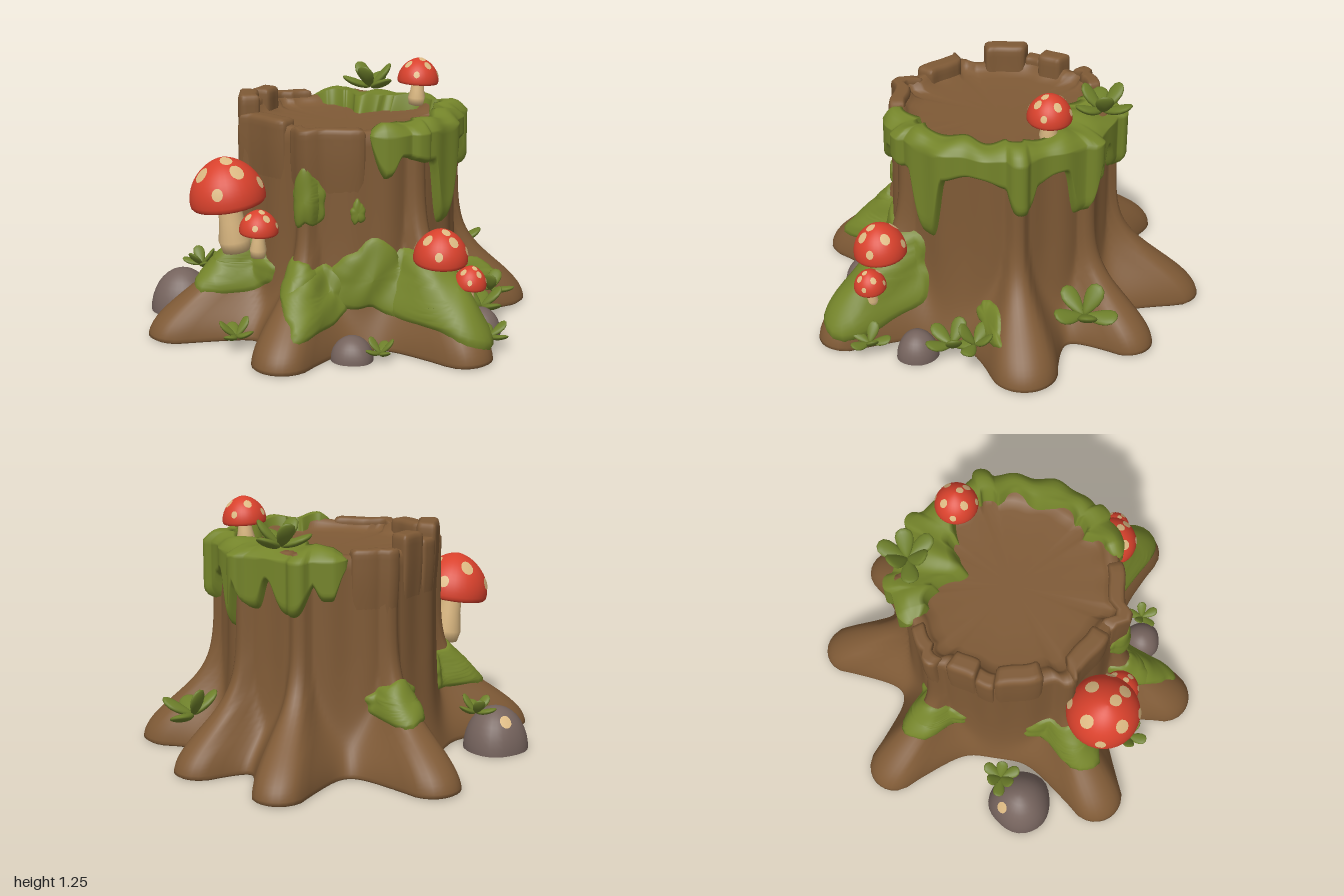
import * as THREE from 'three';
import { mergeVertices } from 'three/addons/utils/BufferGeometryUtils.js';

const mat = (name, color) => {
  const m = new THREE.MeshStandardMaterial({ color });
  m.name = name;
  return m;
};
const V = (x, y, z) => new THREE.Vector3(x, y, z);
const rad = THREE.MathUtils.degToRad;
const CX = 0.06, CZ = -0.02; // trunk axis

// Roots: direction in degrees (0 = +x, 90 = +z), reach, half width at the tip, height
const ROOTS = [
  [174, 1.045, 0.14, 0.3], [130, 0.98, 0.14, 0.3], [72, 1.02, 0.13, 0.37], [7, 0.94, 0.16, 0.3],
  [-34, 0.93, 0.12, 0.28], [-68, 1.01, 0.125, 0.3], [-114, 1.025, 0.13, 0.3],
];

// Distance from the axis to the edge of a tapered, round-ended root, at angle d from it
function rootEdge(d, reach, w, taper) {
  const s = Math.abs(Math.sin(d)), c = Math.cos(d), L = reach - w;
  if (c <= 0) return 0;
  const side = (w + taper * L) / (s + taper * c);
  if (side * c <= L) return side;
  return L * c + Math.sqrt(Math.max(0, w * w - L * L * s * s));
}

// Trunk radius at angle a and height y
function radius(a, y) {
  const p = 11, up = Math.min(1, y / 0.5);
  let sum = Math.pow(0.525 + 0.08 * Math.exp(-y / 0.2), p);
  for (const [deg, reach, w, h] of ROOTS) {
    const e = Math.exp(-Math.pow(y / h, 2));
    sum += Math.pow(rootEdge(a - rad(deg), 0.535 + (reach - 0.535) * e, 0.035 + (w - 0.035) * e, 0.25 * e), p);
  }
  return Math.pow(sum, 1 / p) + up * (0.007 * Math.sin(9 * a) + 0.005 * Math.sin(17 * a + 1));
}
const polar = (a, r, y) => V(CX + r * Math.cos(a), y, CZ + r * Math.sin(a));
const onTrunk = (a, y) => polar(a, radius(a, y), y);

// Smooth surface from a rule fn(i, j); i runs around, j runs up
function grid(nu, nv, wrap, fn) {
  const pos = [], idx = [], cols = wrap ? nu : nu + 1;
  for (let j = 0; j <= nv; j++) for (let i = 0; i < cols; i++) pos.push(...fn(i, j).toArray());
  for (let j = 0; j < nv; j++) for (let i = 0; i < nu; i++) {
    const k = (i + 1) % cols, a = j * cols + i, b = j * cols + k;
    idx.push(a, a + cols, b, b, a + cols, b + cols);
  }
  const g = new THREE.BufferGeometry();
  g.setAttribute('position', new THREE.Float32BufferAttribute(pos, 3));
  g.setIndex(idx);
  g.computeVertexNormals();
  return g;
}

function deform(g, rule) {
  const p = g.attributes.position, v = V(0, 0, 0);
  for (let i = 0; i < p.count; i++) {
    rule(v.fromBufferAttribute(p, i));
    p.setXYZ(i, v.x, v.y, v.z);
  }
  g.deleteAttribute('uv');
  g.deleteAttribute('normal');
  g = mergeVertices(g, 1e-5);
  g.computeVertexNormals();
  return g;
}

// Flared trunk with a shallow hollow on top and a closed underside
function trunkGeometry() {
  const rows = [[0, 0], [0.95, 0], [0.985, 0]];
  for (let k = 1; k <= 32; k++) rows.push([1, 1.0 * Math.pow(k / 32, 1.35)]);
  const top = [[0.015, 1.025], [0.05, 1.03], [0.075, 1.01], [0.09, 0.985], [0.14, 0.975], [0.3, 0.97], [1, 0.97]];
  const N = 216;
  return grid(N, rows.length + top.length - 1, true, (i, j) => {
    const a = (i / N) * Math.PI * 2;
    if (j < rows.length) return polar(a, radius(a, rows[j][1]) * rows[j][0], rows[j][1]);
    const [inset, y] = top[j - rows.length];
    const lift = inset < 0.08 ? 0.01 * Math.sin(5 * a + 1) : 0;
    return polar(a, Math.max(0, radius(a, 1) - inset), y + lift);
  });
}

// Rounded bark plate that follows the wall, sinks into it lower down and stands up at the rim
function barkGeometry(a0, a1, y0, y1, depth) {
  const core = V(0.4, 0.46, 0.32), low = core.clone().negate(), c = V(0, 0, 0);
  return deform(new THREE.BoxGeometry(1, 1, 1, 10, 24, 6), (v) => {
    c.copy(v).clamp(low, core);
    v.sub(c);
    const k = Math.hypot(v.x / 0.1, v.y / 0.04, v.z / 0.18);
    v.divideScalar(Math.max(1, k)).add(c);
    const a = rad(a0 + (v.x + 0.5) * (a1 - a0)), t = v.y + 0.5, y = y0 + t * (y1 - y0);
    const out = -0.02 + 0.032 * THREE.MathUtils.smoothstep(t, 0, 0.85);
    v.copy(polar(a, radius(a, y) + out - (v.z + 0.5) * depth, y));
  });
}

// Moss draped over the rim, with drips: [angle, depth, half width]
const DRIPS = [[91, 0.1, 6], [56, 0.05, 20], [53, 0.37, 8], [5, 0.06, 14], [5, 0.18, 7],
  [-27, 0.26, 6.5], [-42, 0.15, 6], [-64, 0.16, 9], [-82, 0.09, 6]];
function rimMossGeometry() {
  const N = 190, M = 22;
  return grid(N, M, false, (i, j) => {
    const deg = -92 + (i / N) * 190, a = rad(deg);
    const end = Math.sqrt(Math.max(0, Math.min(1, (deg + 92) / 7, (98 - deg) / 7)));
    let drop = 0.1 - 0.07 * (Math.exp(-Math.pow((deg - 26) / 6, 2)) + Math.exp(-Math.pow((deg - 80) / 5, 2)));
    for (const [d, depth, w] of DRIPS) drop = Math.max(drop, 0.1 + depth * Math.exp(-Math.pow((deg - d) / w, 4)));
    const low = 1.0 - drop * end, thick = 0.042 * end + 0.005 * Math.sin(a * 19);
    if (j <= 15) {
      const t = j / 15, bulge = Math.min(1, Math.sqrt(t * 6));
      const y = low + t * (1.01 - low);
      return polar(a, radius(a, y) - 0.012 + (thick + 0.012) * bulge, y);
    }
    const inner = (0.1 + 0.025 * Math.sin(a * 11) + 0.19 * Math.exp(-Math.pow((deg + 52) / 25, 4))) * end;
    const t = (j - 15) / 7, R = radius(a, 1) + thick;
    const y = 1.01 + end * 0.042 * Math.sin(Math.min(1, t * 2.2) * Math.PI / 2) + 0.012 * Math.sin(a * 13) * t * (1 - t) * 4;
    return polar(a, R - (inner + thick) * t, t === 1 ? 0.95 : y);
  });
}

// Lumpy moss cushion following the trunk surface
function patchGeometry(deg, yc, wDeg, h, thick) {
  const N = 48, M = 12;
  return grid(N, M, true, (i, j) => {
    const f = -(i / N) * Math.PI * 2, q = j / M;
    const wob = 1 + 0.1 * Math.sin(3 * f + deg) + 0.08 * Math.sin(5 * f + 2 * deg) + 0.04 * Math.sin(9 * f);
    const a = rad(deg + wDeg * q * wob * Math.cos(f)), y = Math.max(0.015, yc + h * q * wob * Math.sin(f));
    const p = onTrunk(a, y), d = 0.01;
    const n = onTrunk(a, y + d).sub(p).cross(onTrunk(a + d, y).sub(p)).normalize();
    const lump = 1 + 0.2 * Math.sin(a * 23 + y * 20) * (1 - q);
    return p.addScaledVector(n, (thick + 0.008) * Math.pow(1 - q * q, 0.4) * lump - 0.008);
  });
}

// Paddle-shaped leaf growing along +z and curling up
function leafGeometry() {
  return deform(new THREE.SphereGeometry(1, 14, 10), (v) => {
    const t = (v.z + 1) / 2;
    v.set(v.x * 0.054 * (0.4 + 0.75 * t), v.y * 0.02 + 0.025 * t * t, t * 0.165);
  });
}

// Maps a unit direction onto a slightly pointed cap
const ontoCap = (v, r, h) => {
  v.normalize();
  const s = r * Math.pow(Math.hypot(v.x, v.z), 0.22);
  return v.multiply(V(s, h, s));
};

export function createModel() {
  const model = new THREE.Group();
  const bark = mat('bark brown', 0x7f5a36), moss = mat('moss green', 0x74842a), leafGreen = mat('leaf green', 0x6d7f2a);
  const red = mat('cap red', 0xd8412c), cream = mat('stem cream', 0xdcb982), stone = mat('stone grey', 0x75635d);
  const add = (name, geo, m, parent = model) => {
    const mesh = new THREE.Mesh(geo, m);
    mesh.name = name;
    parent.add(mesh);
    return mesh;
  };

  add('trunkAndRoots', trunkGeometry(), bark);
  for (const s of [[221, 237, 0.5, 1.1, 0.1], [186, 211, 0.5, 1.12, 0.1], [211, 221, 0.55, 1.06, 0.08],
    [143, 172, 0.5, 1.065, 0.1], [100, 140, 0.45, 1.04, 0.08], [242, 266, 0.5, 1.05, 0.07]]) {
    add('barkPlate', barkGeometry(...s), bark);
  }

  add('rimMoss', rimMossGeometry(), moss);
  // angle, height, half angle, half height, thickness
  for (const p of [[172, 0.335, 24, 0.12, 0.03], [71, 0.29, 19, 0.22, 0.04], [97, 0.33, 22, 0.17, 0.035],
    [120, 0.27, 13, 0.14, 0.03], [131, 0.35, 8, 0.09, 0.025], [129, 0.71, 9, 0.14, 0.022], [104, 0.65, 4, 0.06, 0.02],
    [-116, 0.34, 16, 0.09, 0.03], [20, 0.2, 6, 0.07, 0.025]]) {
    add('mossPatch', patchGeometry(...p), moss);
  }

  // Mushrooms: position of foot, cap radius, cap height, stem length, lean about x and z
  const mushroom = (x, y, z, r, h, len, leanX, leanZ) => {
    const g = new THREE.Group();
    g.name = 'mushroom';
    g.position.set(x, y, z);
    g.rotation.set(leanX, 0, leanZ);
    const w = r * 0.33;
    const stem = [[0, -0.03], [w * 1.1, -0.02], [w * 1.3, len * 0.15], [w, len * 0.55], [w * 0.85, len + h * 0.2]];
    add('stem', new THREE.LatheGeometry(stem.map((p) => new THREE.Vector2(...p)), 20), cream, g);
    const cap = [V(0, 0.12 * h, 0), V(0.6 * r, 0.08 * h, 0), V(0.88 * r, -0.1 * h, 0), V(0.95 * r, -0.12 * h, 0), V(0.99 * r, -0.07 * h, 0)];
    for (let k = 0; k <= 14; k++) {
      const f = k * Math.PI / 28;
      cap.push(ontoCap(V(k === 14 ? 0 : Math.cos(f), Math.sin(f), 0), r, h));
    }
    add('cap', new THREE.LatheGeometry(cap.map((c) => new THREE.Vector2(c.x, c.y)), 32), red, g).position.y = len;
    for (let k = 0; k < 9; k++) {
      const spot = new THREE.CircleGeometry(k % 2 ? 0.15 : 0.2, 12).translate(0, 0, 1);
      spot.rotateX(-rad(k === 0 ? 72 : k % 2 ? 20 : 46)).rotateY(k * 0.8 + 0.2);
      add('capSpot', deform(spot, (v) => ontoCap(v, r, h).multiplyScalar(1.025)), cream, g).position.y = len;
    }
    model.add(g);
  };
  mushroom(-0.57, 0.45, 0.18, 0.18, 0.2, 0.24, 0, 0.14);
  mushroom(-0.5, 0.45, 0.32, 0.092, 0.1, 0.11, 0.05, -0.03);
  mushroom(0.29, 0.29, 0.62, 0.128, 0.145, 0.145, 0.08, 0);
  mushroom(0.4, 0.23, 0.7, 0.077, 0.09, 0.09, 0.08, -0.08);
  mushroom(0.475, 1.03, -0.135, 0.104, 0.115, 0.105, 0, -0.06);

  // Half-buried stones
  for (const [x, z, r, h] of [[-0.73, -0.3, 0.16, 0.21], [-0.15, 0.645, 0.1, 0.11], [0.555, 0.52, 0.1, 0.125]]) {
    const dome = deform(new THREE.SphereGeometry(1, 28, 18), (v) =>
      v.set(v.x * r, Math.max(0, v.y) * h, v.z * r * (1 + 0.06 * Math.sin(v.x * 3))));
    add('stone', dome, stone).position.set(x, 0, z);
  }
  const fleck = new THREE.CircleGeometry(0.18, 12).translate(0, 0, 1).rotateX(-rad(48)).rotateY(rad(190));
  add('stoneFleck', deform(fleck, (v) => v.normalize().multiply(V(0.163, 0.214, 0.163)).multiplyScalar(1.02)), cream)
    .position.set(-0.73, 0, -0.3);

  // Leaf tufts: position, number of leaves, size, starting turn, tilt of the tuft about z
  const leaf = leafGeometry();
  for (const [x, y, z, n, size, turn, tilt] of [[0.34, 1.06, -0.44, 6, 0.95, 0.3, 0], [0.75, 0.21, -0.24, 5, 1.0, 0.1, -0.35],
    [-0.61, 0.2, -0.36, 6, 0.65, 0, 0.1], [0.63, 0.07, 0.37, 5, 0.85, 0.2, -0.1], [0.72, 0.12, 0.28, 4, 0.75, 0.9, -0.2],
    [0.5, 0.06, 0.74, 5, 0.65, 0.4, -0.2], [-0.03, 0.03, 0.7, 5, 0.55, 0, 0], [-0.62, 0.06, 0.35, 5, 0.65, 0.6, 0.1]]) {
    const tuft = new THREE.Group();
    tuft.name = 'leafTuft';
    tuft.position.set(x, y, z);
    tuft.rotation.z = tilt;
    tuft.scale.setScalar(size);
    for (let k = 0; k < n; k++) {
      const l = add('leaf', leaf, leafGreen, tuft);
      l.rotation.set(-0.2 - 0.5 * (k % 2), turn + (k / n) * Math.PI * 2, 0, 'YXZ');
    }
    model.add(tuft);
  }
  return model;
}
